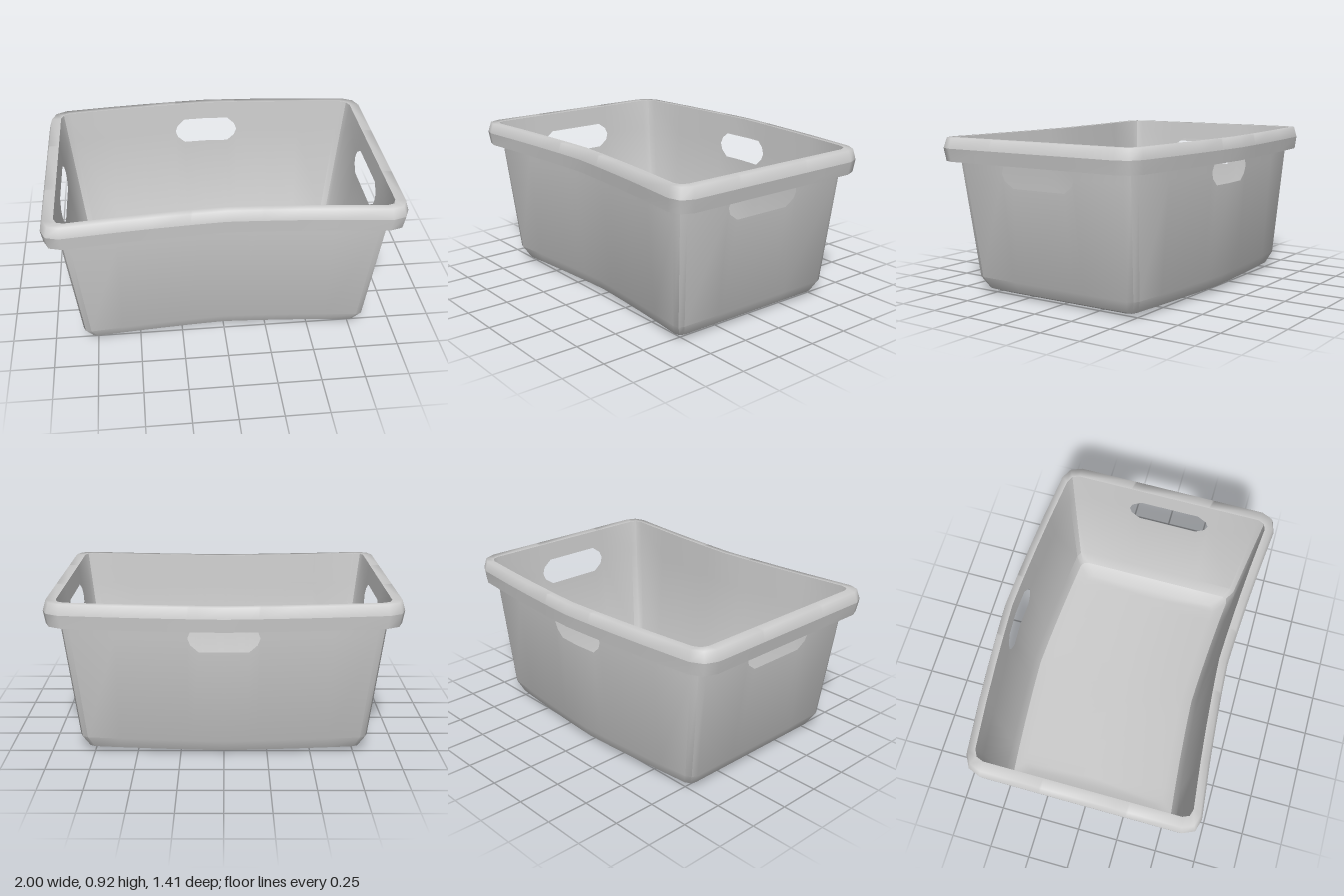
import * as THREE from 'three';
import { mergeVertices, toCreasedNormals } from 'three/addons/utils/BufferGeometryUtils.js';

// Bow of the plan: the ends sit further forward than the middle
const bow = (x) => -0.04 + 0.045 * Math.abs(x) + 0.04 * x * x;
const clamp = (v, m) => Math.max(-m, Math.min(m, v));

// Handle slot outlines: [position along the wall, half height of the slot]
const sideSlot = [[-0.25, 0], [-0.235, 0.04], [-0.18, 0.08], [0.18, 0.08], [0.235, 0.04], [0.25, 0]];
const backSlot = [[-0.6, 0], [-0.4, 0], [-0.2, 0], [-0.185, 0.04], [-0.14, 0.08], [0, 0.08],
  [0.14, 0.08], [0.185, 0.04], [0.2, 0], [0.4, 0], [0.6, 0]];
const SLOT_Y = 0.73;

// Columns around the plan; each gives its x, z for a half width a, half depth b and corner radius r
const columns = [];
function corner(sx, sz, start) {
  for (let k = 0; k < 3; k++) {
    const t = start + k * Math.PI / 4;
    columns.push({ h: 0, at: (a, b, r) => [sx * (a - r) + r * Math.cos(t), sz * (b - r) + r * Math.sin(t)] });
  }
}
function side(s) {
  for (const [u, h] of sideSlot) columns.push({ h, at: (a, b, r) => [s * a, clamp(s * u + 0.02, b - r)] });
}
function end(s, slotted) {
  for (const [u, h] of backSlot) columns.push({ h: slotted ? h : 0, at: (a, b, r) => [clamp(-s * u, a - r), s * b] });
}
side(1);
corner(1, 1, 0);
end(1, false);
corner(-1, 1, Math.PI / 2);
side(-1);
corner(-1, -1, Math.PI);
end(-1, true);
corner(1, -1, Math.PI * 1.5);

const place = (col, [a, b, r, y]) => {
  const [x, z] = col.at(a, b, r);
  return new THREE.Vector3(x, y, z + bow(x));
};

// Skin between neighbouring columns; slotRow is the row left open
function skin(grid, slotRow = -1) {
  const pos = [];
  const tri = new THREE.Triangle();
  const add = (p, q, r) => {
    if (tri.set(p, q, r).getArea() > 1e-8) for (const v of [p, q, r]) pos.push(v.x, v.y, v.z);
  };
  grid.forEach((c, i) => {
    const n = grid[(i + 1) % grid.length];
    for (let j = 0; j < c.length - 1; j++) {
      if (j === slotRow) continue;
      add(c[j], c[j + 1], n[j]);
      add(n[j], c[j + 1], n[j + 1]);
    }
  });
  const g = new THREE.BufferGeometry();
  g.setAttribute('position', new THREE.Float32BufferAttribute(pos, 3));
  return g;
}

const loft = (levels) => {
  const g = mergeVertices(skin(columns.map((c) => levels.map((l) => place(c, l)))));
  g.computeVertexNormals();
  return g;
};

export function createModel() {
  const group = new THREE.Group();
  const material = new THREE.MeshStandardMaterial({ color: 0xcccccc, side: THREE.DoubleSide });
  const addPart = (name, geometry) => {
    const mesh = new THREE.Mesh(geometry, material);
    mesh.name = name;
    group.add(mesh);
  };

  // Levels: half width, half depth, corner radius, height
  const base = [[0.66, 0, 0, 0], [0.715, 0.45, 0.04, 0], [0.79, 0.52, 0.04, 0.03]];
  const foot = [0.83, 0.555, 0.045, 0.1];
  const top = [0.925, 0.615, 0.055, 0.92];

  // Tub: floor, chamfered base and sloped walls with three handle slots
  const onWall = (y) => foot.map((v, i) => v + (top[i] - v) * (y - foot[3]) / (top[3] - foot[3]));
  const tub = columns.map((c) =>
    [...base, foot, onWall(SLOT_Y - c.h), onWall(SLOT_Y + c.h), top].map((l) => place(c, l)));
  addPart('tub', toCreasedNormals(skin(tub, base.length + 1), 0.6));

  // Rim: hanging skirt, then a rounded lip back in to the wall
  const widest = [1, 0.67, 0.1, 0.86];
  addPart('rimSkirt', loft([[0.988, 0.663, 0.1, 0.785], widest]));
  addPart('rimLip', loft([widest, [0.982, 0.655, 0.09, 0.92], top]));

  return group;
}
